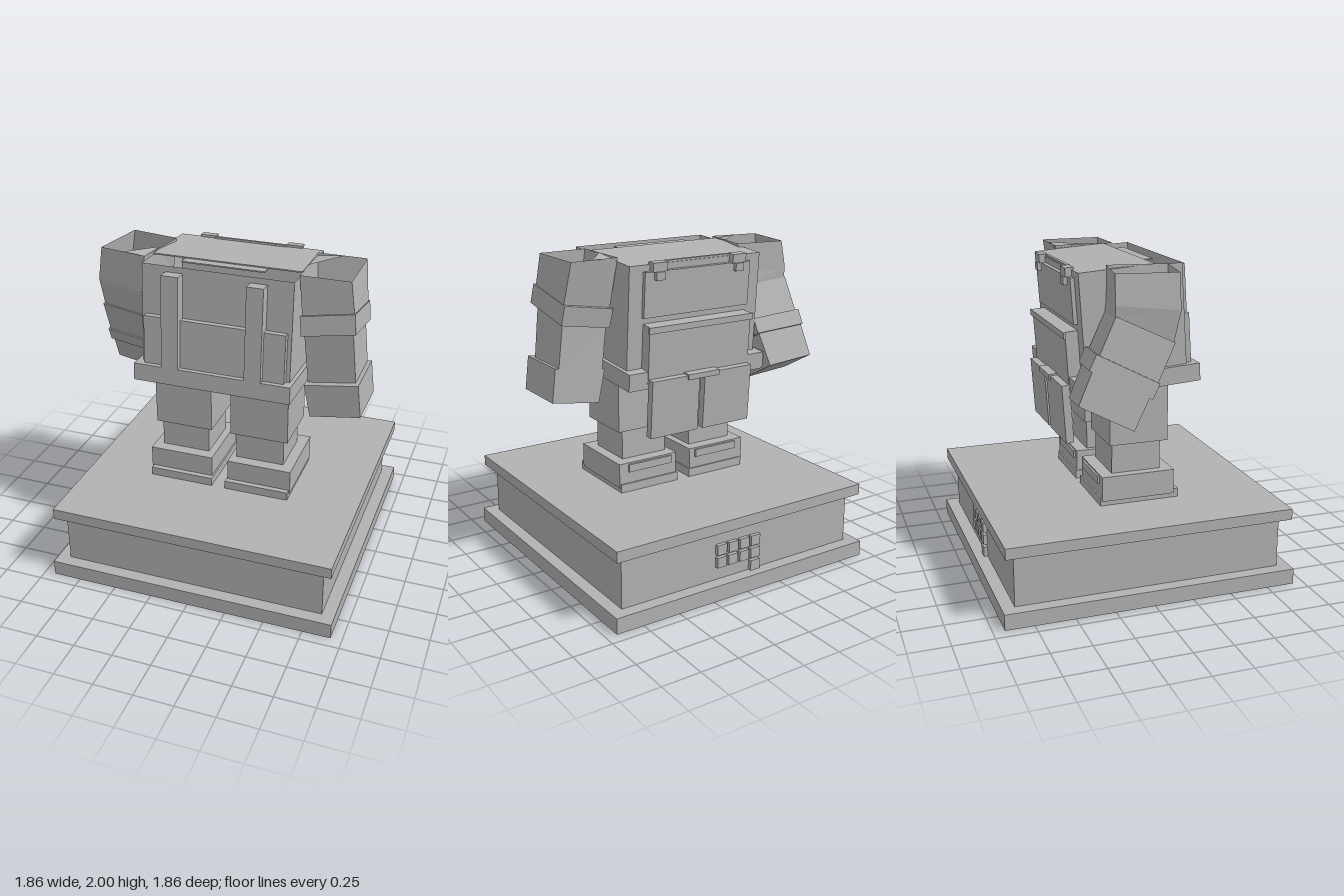
import * as THREE from 'three';

const stone = new THREE.MeshStandardMaterial({ color: 0xb2b2b2, side: THREE.DoubleSide });
stone.name = 'stone grey';

// Box given by its limits on each axis
function box(parent, name, x0, x1, y0, y1, z0, z1) {
  const mesh = new THREE.Mesh(new THREE.BoxGeometry(x1 - x0, y1 - y0, z1 - z0), stone);
  mesh.position.set((x0 + x1) / 2, (y0 + y1) / 2, (z0 + z1) / 2);
  mesh.name = name;
  parent.add(mesh);
  return mesh;
}

// Four corners of a tilted rectangle: centre, width, depth, pitch, yaw, roll
function ring([cx, cy, cz, w, d, pitch = 0, yaw = 0, roll = 0]) {
  const turn = new THREE.Euler(pitch, yaw, roll, 'YXZ');
  return [[-1, 1], [1, 1], [1, -1], [-1, -1]].map(([sx, sz]) =>
    new THREE.Vector3(sx * w / 2, 0, sz * d / 2).applyEuler(turn).add(new THREE.Vector3(cx, cy, cz)));
}

// Four-sided block through rings from bottom to top
function limb(parent, name, rings, openTop = false) {
  const r = rings.map(ring);
  const points = [];
  const quad = (a, b, c, d) => points.push(a, b, c, a, c, d);
  for (let i = 0; i + 1 < r.length; i++)
    for (let k = 0; k < 4; k++) {
      const n = (k + 1) % 4;
      quad(r[i][k], r[i][n], r[i + 1][n], r[i + 1][k]);
    }
  const t = r[r.length - 1];
  quad(r[0][3], r[0][2], r[0][1], r[0][0]);
  if (!openTop) quad(t[0], t[1], t[2], t[3]);
  addFaces(parent, name, points);
}

function addFaces(parent, name, points) {
  const geometry = new THREE.BufferGeometry().setFromPoints(points);
  geometry.computeVertexNormals();
  const mesh = new THREE.Mesh(geometry, stone);
  mesh.name = name;
  parent.add(mesh);
}

function buildPlinth(model) {
  const plinth = new THREE.Group();
  plinth.name = 'plinth';
  box(plinth, 'plinthFoot', -0.93, 0.93, 0, 0.1, -0.93, 0.93);
  box(plinth, 'plinthBody', -0.85, 0.85, 0.1, 0.43, -0.85, 0.85);
  box(plinth, 'plinthTop', -0.91, 0.91, 0.43, 0.5, -0.91, 0.91);
  // small raised studs on the back
  for (let row = 0; row < 3; row++)
    for (let col = 0; col < 4; col++) {
      if (row === 0 && col > 0) continue;
      const x = -0.13 + col * 0.084, y = 0.102 + row * 0.083;
      box(plinth, 'stud', x, x + 0.068, y, y + 0.066, -0.875, -0.85);
    }
  model.add(plinth);
}

function buildLeg(model, side, x) {
  const leg = new THREE.Group();
  leg.name = side + 'Leg';
  const part = (name, half, y0, y1, z0, z1, dx = 0) =>
    box(leg, name, x + dx - half, x + dx + half, y0, y1, z0, z1);
  part('sole', 0.212, 0.5, 0.555, -0.2, 0.32, side === 'left' ? 0.005 : 0);
  part('boot', 0.212, 0.53, 0.69, -0.19, 0.285, side === 'left' ? 0.012 : -0.01);
  part('bootStrap', 0.16, 0.63, 0.68, -0.203, -0.19);
  part('shin', 0.16, 0.69, 0.88, -0.11, 0.21, -0.005);
  part('thigh', 0.19, 0.88, 1.26, -0.13, 0.25);
  model.add(leg);
}

function buildTorso(model) {
  // the whole torso leans slightly backwards
  const torso = new THREE.Group();
  torso.name = 'torso';
  torso.position.set(0, 1.24, 0.04);
  torso.rotation.x = -0.07;
  box(torso, 'belt', -0.52, 0.49, 0, 0.11, -0.4, 0.4);

  // chest shell, cut level at the front of its top
  const chest = box(torso, 'chest', -0.49, 0.465, 0.11, 0.75, -0.325, 0.325);
  const pos = chest.geometry.attributes.position;
  for (let i = 0; i < pos.count; i++)
    if (pos.getY(i) > 0 && pos.getZ(i) > 0) pos.setY(i, pos.getY(i) - 0.013);
  const kept = chest.geometry.groups.filter(g => g.materialIndex !== 2);
  const index = Array.from(chest.geometry.index.array);
  chest.geometry.setIndex(kept.flatMap(g => index.slice(g.start, g.start + g.count)));
  chest.geometry.clearGroups();
  box(torso, 'chestTop', -0.49, 0.465, 0.742, 0.75, -0.325, 0.152);
  box(torso, 'topPanel', -0.275, 0.25, 0.735, 0.743, -0.3, 0.22);

  // front panel and straps
  box(torso, 'frontPanel', -0.465, 0.44, 0.11, 0.42, 0.325, 0.366);
  for (const [x0, x1] of [[-0.335, -0.225], [0.2, 0.305]])
    box(torso, 'frontStrap', x0, x1, 0.11, 0.7, 0.325, 0.405);

  // back plates, hooks and hanging tails
  box(torso, 'upperBackPlate', -0.4, 0.37, 0.43, 0.71, -0.35, -0.325);
  box(torso, 'backPouch', -0.39, 0.36, 0.03, 0.39, -0.405, -0.325);
  box(torso, 'pouchFlap', -0.4, 0.37, 0.35, 0.39, -0.418, -0.405);
  box(torso, 'buckle', -0.13, 0.1, 0.035, 0.07, -0.46, -0.4);
  for (const [x0, x1] of [[-0.385, -0.03], [0.01, 0.355]])
    box(torso, 'coatTail', x0, x1, -0.31, 0.06, -0.45, -0.4);
  for (const x of [-0.305, 0.275]) {
    box(torso, 'hook', x - 0.05, x + 0.05, 0.71, 0.765, -0.365, -0.31);
    box(torso, 'hookTab', x - 0.03, x + 0.03, 0.66, 0.71, -0.375, -0.325);
  }
  box(torso, 'hookRail', -0.255, 0.225, 0.75, 0.762, -0.32, -0.3);
  model.add(torso);
}

function buildArms(model) {
  // left arm hangs down
  const left = new THREE.Group();
  left.name = 'leftArm';
  limb(left, 'sleeve', [[0.655, 1.68, 0.04, 0.32, 0.36, -0.17, 0, 0.17], [0.618, 2, 0, 0.31, 0.4]], true);
  limb(left, 'cuff', [[0.66, 1.63, 0.05, 0.335, 0.41, -0.17, 0, 0.17], [0.645, 1.75, 0.03, 0.335, 0.41, -0.17, 0, 0.17]]);
  limb(left, 'forearm', [[0.685, 1.32, 0.04, 0.3, 0.32, 0, 0, 0.14], [0.65, 1.66, 0.04, 0.3, 0.33, -0.1, 0, 0.17]]);
  limb(left, 'hand', [[0.725, 1.125, 0.06, 0.32, 0.37, 0, 0, 0.15], [0.69, 1.335, 0.06, 0.34, 0.37, 0, 0, 0.15]]);
  addFaces(left, 'shoulderCap', [[0.463, 2, 0.02], [0.632, 2, -0.2], [0.463, 1.98, -0.2]].map(p => new THREE.Vector3(...p)));

  // right arm swings backwards
  const right = new THREE.Group();
  right.name = 'rightArm';
  const yaw = -0.17;
  limb(right, 'sleeve', [[-0.675, 1.66, -0.03, 0.3, 0.37, 0.42, yaw, -0.1],
    [-0.675, 1.79, -0.005, 0.32, 0.38, 0.1, yaw, -0.1], [-0.645, 2, 0, 0.32, 0.37, 0, yaw]], true);
  limb(right, 'forearm', [[-0.69, 1.44, -0.135, 0.32, 0.38, 0.46, yaw, -0.1], [-0.68, 1.67, -0.025, 0.31, 0.38, 0.44, yaw, -0.1]]);
  limb(right, 'cuff', [[-0.695, 1.365, -0.18, 0.34, 0.41, 0.47, yaw, -0.1], [-0.69, 1.455, -0.135, 0.34, 0.41, 0.47, yaw, -0.1]]);
  limb(right, 'hand', [[-0.72, 1.175, -0.275, 0.31, 0.36, 0.47, yaw, -0.13], [-0.7, 1.37, -0.18, 0.32, 0.37, 0.47, yaw, -0.13]]);
  addFaces(right, 'shoulderCap', [[-0.5, 2, 0.03], [-0.52, 1.98, 0.2], [-0.67, 2, 0.18]].map(p => new THREE.Vector3(...p)));
  model.add(left, right);
}

export function createModel() {
  const model = new THREE.Group();
  model.name = 'statue';
  buildPlinth(model);
  buildLeg(model, 'left', 0.24);
  buildLeg(model, 'right', -0.27);
  buildTorso(model);
  buildArms(model);
  return model;
}
